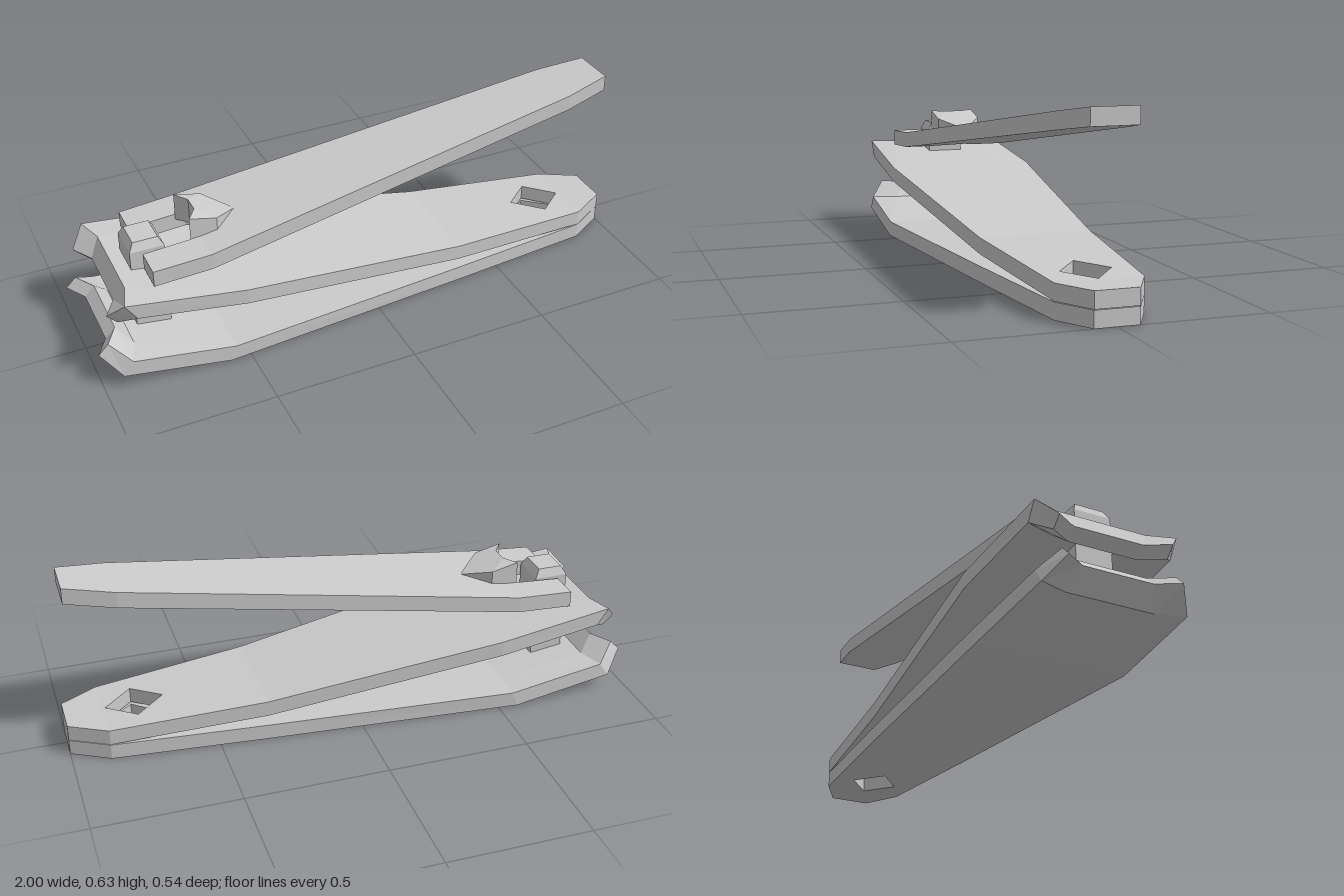
import * as THREE from 'three';

const material = new THREE.MeshStandardMaterial({ color: 0xcccccc, flatShading: true });

function addMesh(parent, name, geometry) {
  const mesh = new THREE.Mesh(geometry, material);
  mesh.name = name;
  parent.add(mesh);
  return mesh;
}

// Flat plate from an x/z outline; bottom and top heights are functions of x
function plate(outline, bottom, top, hole) {
  const toPoints = list => list.map(([x, z]) => new THREE.Vector2(x, z));
  const shape = new THREE.Shape(toPoints(outline));
  if (hole) shape.holes.push(new THREE.Path(toPoints(hole)));
  const geo = new THREE.ExtrudeGeometry(shape, { depth: 1, bevelEnabled: false });
  geo.rotateX(-Math.PI / 2);
  const p = geo.attributes.position;
  for (let i = 0; i < p.count; i++) {
    const x = p.getX(i);
    p.setY(i, p.getY(i) > 0.5 ? top(x) : bottom(x));
  }
  geo.computeVertexNormals();
  return geo;
}

// Mirror one side of an outline across z = 0
const mirrored = side => [...side, ...side.map(([x, z]) => [x, -z]).reverse()];
const line = (x0, y0, x1, y1) => x => y0 + (y1 - y0) * (x - x0) / (x1 - x0);

// Bar through stations [topX, topY, bottomX, bottomY, halfWidth, hollow];
// hollow pushes the middle back to make the concave cutting edge
function bar(stations) {
  const cols = [-1, -0.62, 0, 0.62, 1];
  const n = cols.length;
  const rings = stations.map(([tx, ty, bx, by, w, hollow]) => {
    const row = (x, y) => cols.map(t => [x + (Math.abs(t) < 1 ? hollow : 0), y, t * w]);
    return [...row(tx, ty), ...row(bx, by).reverse()];
  });
  const pos = [];
  const quad = (a, b, c, d) => pos.push(...a, ...b, ...c, ...a, ...c, ...d);
  for (let i = 0; i < rings.length - 1; i++) {
    const r = rings[i], s = rings[i + 1];
    for (let j = 0; j < r.length; j++) {
      const k = (j + 1) % r.length;
      quad(r[j], r[k], s[k], s[j]);
    }
  }
  const f = rings[0];
  for (let j = 0; j < n - 1; j++) quad(f[j], f[2 * n - 1 - j], f[2 * n - 2 - j], f[j + 1]);
  const geo = new THREE.BufferGeometry();
  geo.setAttribute('position', new THREE.Float32BufferAttribute(pos, 3));
  geo.computeVertexNormals();
  return geo;
}

// Blade: jaw bar, tapering tail with a diamond hole, and narrow end
function blade(name, stations, tailTop, endTop) {
  const group = new THREE.Group();
  group.name = name;
  const thick = 0.055;
  const diamond = [[0.66, 0], [0.76, 0.085], [0.86, 0], [0.76, -0.085]];
  addMesh(group, 'jaw', bar(stations));
  addMesh(group, 'tail', plate(mirrored([[0.33, -0.195], [0.87, -0.145]]),
    x => tailTop(x) - thick, tailTop, diamond));
  addMesh(group, 'tailEnd', plate(mirrored([[0.87, -0.145], [1, -0.073]]),
    () => endTop - thick, () => endTop));
  return group;
}

export function createModel() {
  const model = new THREE.Group();
  model.name = 'nailClipper';

  model.add(blade('lowerBlade', [
    [-0.965, 0.155, -1, 0.12, 0.198, 0.045],
    [-0.9, 0.1, -0.935, 0.05, 0.252, 0.03],
    [-0.55, 0.055, -0.57, 0, 0.268, 0],
    [0.33, 0.055, 0.33, 0, 0.195, 0],
  ], () => 0.055, 0.055));

  model.add(blade('upperBlade', [
    [-0.96, 0.27, -0.925, 0.235, 0.2, 0.045],
    [-0.91, 0.33, -0.87, 0.27, 0.253, 0.03],
    [-0.5, 0.275, -0.5, 0.22, 0.268, 0],
    [0.33, 0.15, 0.33, 0.095, 0.195, 0],
  ], line(0.33, 0.15, 0.87, 0.112), 0.112));

  // Lever: forked front and long arm with a pointed pocket under the lug
  const lever = new THREE.Group();
  lever.name = 'lever';
  model.add(lever);
  const forkBottom = line(-0.79, 0.327, -0.59, 0.34);
  const armBottom = line(-0.59, 0.34, 0.97, 0.578);
  const raise = (f, h) => x => f(x) + h;
  for (const s of [-1, 1]) {
    const prong = [[-0.79, 0.08], [-0.59, 0.08], [-0.59, 0.194], [-0.79, 0.188]];
    addMesh(lever, 'leverProng',
      plate(prong.map(([x, z]) => [x, s * z]), forkBottom, raise(forkBottom, 0.057)));
  }
  addMesh(lever, 'leverArm', plate([
    ...mirrored([[-0.59, -0.194], [0.8, -0.11], [0.97, -0.078]]),
    [-0.59, 0.08], [-0.45, 0], [-0.59, -0.08],
  ], armBottom, raise(armBottom, 0.057)));

  // Wedge-shaped lug that bears on the post
  const slope = line(-0.59, 0.475, -0.44, 0.418);
  addMesh(lever, 'leverLug', plate(
    [[-0.59, -0.03], [-0.625, -0.08], [-0.53, -0.08], [-0.44, 0],
      [-0.53, 0.08], [-0.625, 0.08], [-0.59, 0.03]],
    raise(armBottom, 0.04), x => Math.min(0.475, slope(x))));

  // Post with a chamfered head
  const postGeo = new THREE.BoxGeometry(0.12, 0.35, 0.13, 1, 2, 1);
  const p = postGeo.attributes.position;
  for (let i = 0; i < p.count; i++) {
    if (p.getY(i) > 0.1) {
      p.setX(i, p.getX(i) * 0.72);
      p.setZ(i, p.getZ(i) * 0.78);
    } else if (Math.abs(p.getY(i)) < 0.01) p.setY(i, 0.145);
  }
  postGeo.computeVertexNormals();
  addMesh(model, 'post', postGeo).position.set(-0.77, 0.243, 0);

  return model;
}
